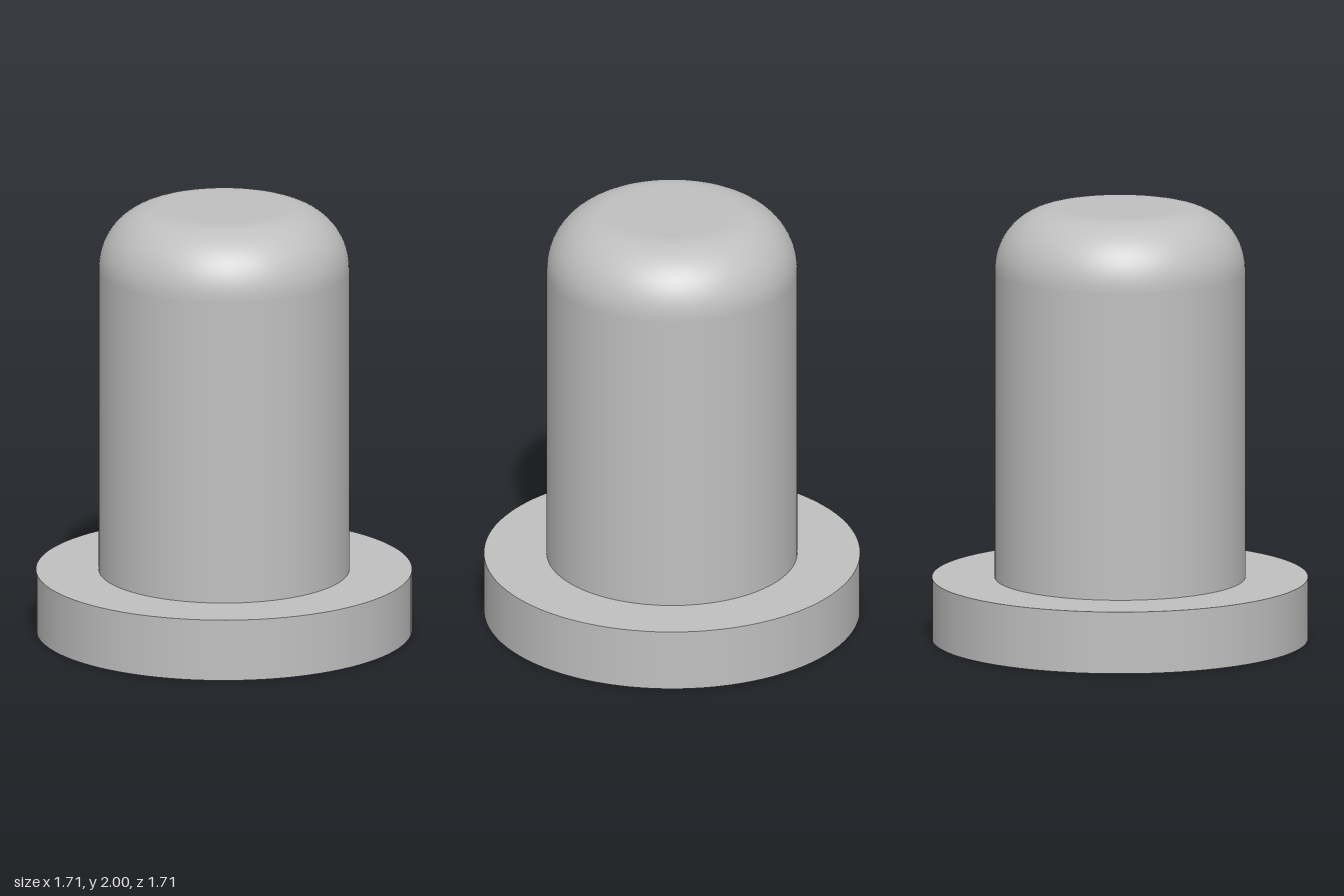
import * as THREE from 'three';

const SEGMENTS = 96;
const UNIT = 2 / 7; // flange thickness, shoulder radius and shaft half-radius

export function createModel() {
  const model = new THREE.Group();
  model.name = 'flangedPin';

  const grey = new THREE.MeshStandardMaterial({ color: 0xc0c0c0 });
  grey.name = 'plain grey';

  const add = (name, geometry, y = 0) => {
    const mesh = new THREE.Mesh(geometry, grey);
    mesh.name = name;
    mesh.position.y = y;
    model.add(mesh);
  };

  // Wide disc at the foot
  add('flange', new THREE.CylinderGeometry(3 * UNIT, 3 * UNIT, UNIT, SEGMENTS), UNIT / 2);

  // Straight shaft wall, from the flange up to the rounded shoulder
  const wallHeight = 5 * UNIT;
  add('shaft', new THREE.CylinderGeometry(2 * UNIT, 2 * UNIT, wallHeight, SEGMENTS, 1, true), UNIT + wallHeight / 2);

  // Quarter-round shoulder
  const profile = [];
  for (let i = 0; i <= 20; i++) {
    const a = (i / 20) * Math.PI / 2;
    profile.push(new THREE.Vector2(UNIT * (1 + Math.cos(a)), UNIT * (6 + Math.sin(a))));
  }
  add('roundedShoulder', new THREE.LatheGeometry(profile, SEGMENTS));

  // Flat end of the shaft
  const cap = new THREE.CircleGeometry(UNIT, SEGMENTS).rotateX(-Math.PI / 2);
  add('topFace', cap, 7 * UNIT);

  return model;
}
